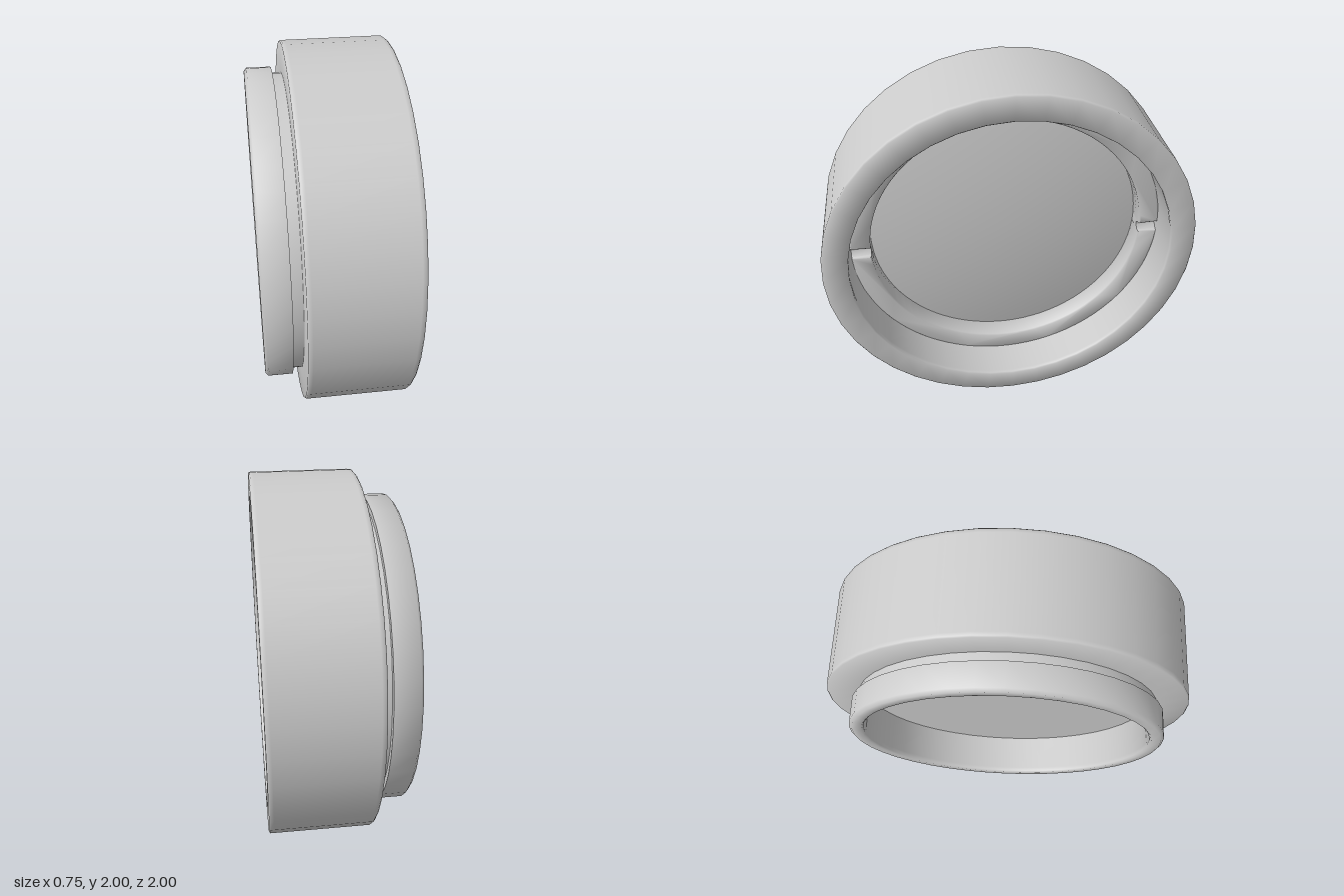
import * as THREE from 'three';
import { toCreasedNormals } from 'three/addons/utils/BufferGeometryUtils.js';

const SIDES = 40;
const material = new THREE.MeshStandardMaterial({ color: 0xcccccc });

// Bevels blend softly, square corners stay sharp
function addPart(group, name, geometry) {
  const mesh = new THREE.Mesh(toCreasedNormals(geometry, 1), material);
  mesh.name = name;
  group.add(mesh);
}

// Revolves [radius, x] pairs about the x axis
function turned(profile) {
  const points = profile.map(([r, x]) => new THREE.Vector2(r, x));
  return new THREE.LatheGeometry(points, SIDES).rotateZ(-Math.PI / 2);
}

export function createModel() {
  const root = new THREE.Group();
  const model = new THREE.Group();
  model.name = 'lensMount';
  model.position.y = 1;
  root.add(model);

  // Housing: rear lip, narrow neck, wide barrel and the open bore
  addPart(model, 'housing', turned([
    [0.795, -0.375], [0.845, -0.375], [0.862, -0.36],
    [0.862, -0.23], [0.83, -0.23], [0.83, -0.175],
    [0.993, -0.175], [1, -0.168], [1, -0.15],
    [1, 0.347], [1, 0.365], [0.993, 0.372],
    [0.872, 0.372], [0.865, 0.365], [0.865, 0.347],
    [0.865, 0.02], [0.785, 0.02],
    [0.785, -0.345], [0.785, -0.365], [0.795, -0.375],
  ]));

  // Lens: flat at the rear, gently domed towards the wide opening
  const lensProfile = [[0, -0.145], [0.81, -0.145]];
  for (let i = 10; i >= 0; i--) {
    const t = i / 10;
    lensProfile.push([0.81 * t, 0.11 - 0.08 * t * t]);
  }
  addPart(model, 'lens', turned(lensProfile));

  // Retaining ring in two halves, leaving a spanner notch on each side
  const inner = 0.755, outer = 0.866, gap = 0.035, edge = 0.007;
  const ringBack = 0.02, ringFront = 0.155;
  const half = new THREE.Shape();
  half.absarc(0, 0, outer, gap, Math.PI - gap, false);
  half.absarc(0, 0, inner, Math.PI - gap, gap, true);
  half.closePath();
  for (const [name, turn] of [['upperRingHalf', 0], ['lowerRingHalf', Math.PI]]) {
    const geometry = new THREE.ExtrudeGeometry(half, {
      depth: ringFront - ringBack - 2 * edge, curveSegments: SIDES / 2,
      bevelThickness: edge, bevelSize: edge, bevelOffset: -edge, bevelSegments: 1,
    });
    geometry.rotateZ(turn).rotateY(Math.PI / 2).translate(ringBack + edge, 0, 0);
    addPart(model, name, geometry);
  }

  // V-shaped floors of the two notches
  const notch = new THREE.Shape([
    [ringBack, -0.035], [0.148, -0.035], [0.108, -0.008],
    [0.108, 0.008], [0.148, 0.035], [ringBack, 0.035],
  ].map(([x, y]) => new THREE.Vector2(x, y)));
  for (const start of [inner, -outer]) {
    const geometry = new THREE.ExtrudeGeometry(notch, { depth: outer - inner, bevelEnabled: false });
    addPart(model, 'notchFloor', geometry.translate(0, 0, start));
  }

  return root;
}
